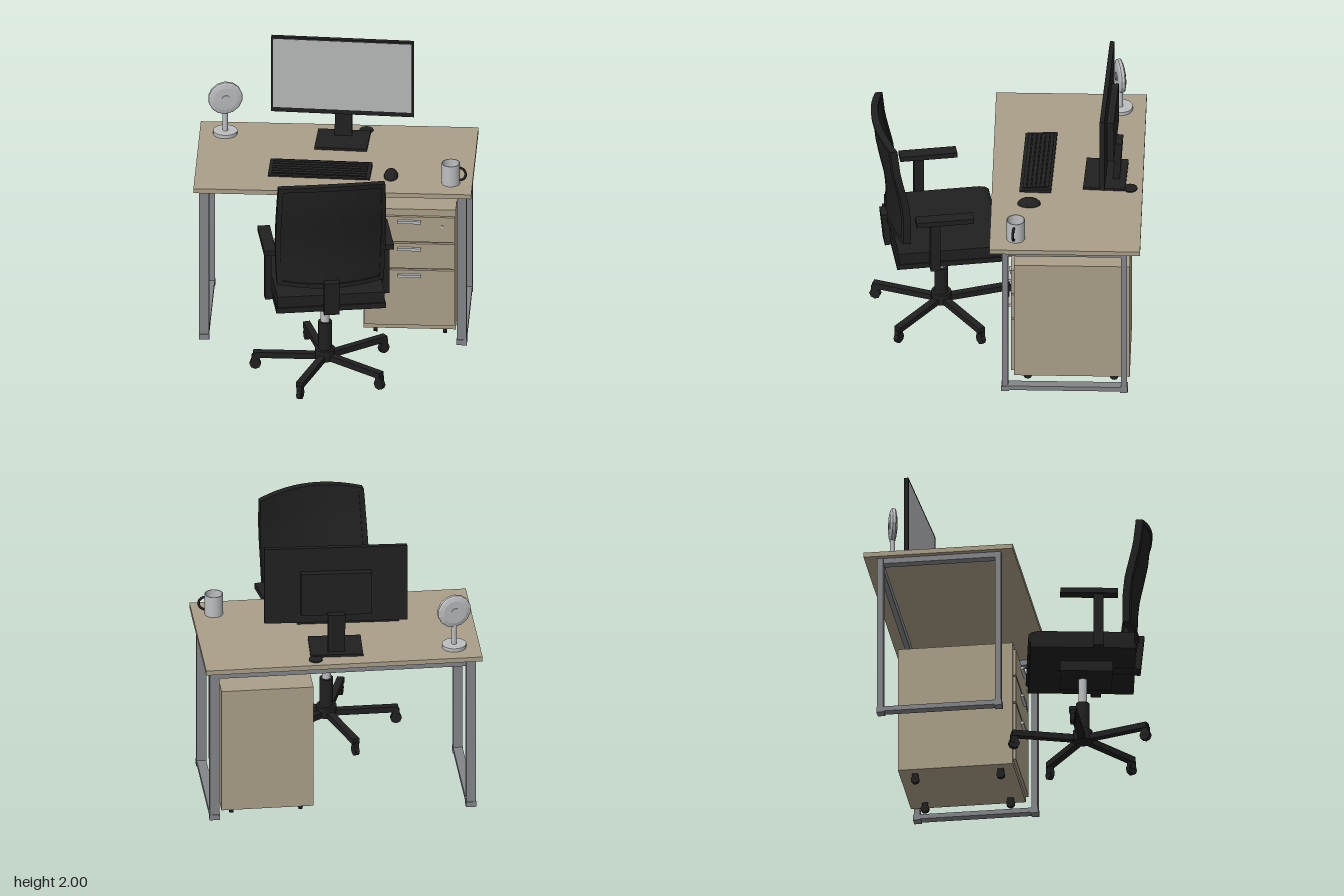
import * as THREE from 'three';

const mat = (name, color) => {
  const m = new THREE.MeshStandardMaterial({ color });
  m.name = name;
  return m;
};

export function createModel() {
  const wood = mat('tan wood', 0xaa9f88);
  const steel = mat('grey steel', 0x838589);
  const silver = mat('light silver', 0xbcbec0);
  const black = mat('black plastic', 0x202020);
  const glass = mat('screen grey', 0xb6b8b9);

  const group = (parent, name, x = 0, y = 0, z = 0, ry = 0) => {
    const g = new THREE.Group();
    g.name = name;
    g.position.set(x, y, z);
    g.rotation.y = ry;
    parent.add(g);
    return g;
  };
  const add = (parent, name, geo, material, x = 0, y = 0, z = 0) => {
    const m = new THREE.Mesh(geo, material);
    m.name = name;
    m.position.set(x, y, z);
    parent.add(m);
    return m;
  };
  // box given by its limits on each axis
  const box = (parent, name, material, [x0, x1], [y0, y1], [z0, z1]) =>
    add(parent, name, new THREE.BoxGeometry(x1 - x0, y1 - y0, z1 - z0), material,
      (x0 + x1) / 2, (y0 + y1) / 2, (z0 + z1) / 2);
  // upright cylinder from y0 to y1
  const post = (parent, name, material, r, y0, y1, x = 0, z = 0, sides = 20) =>
    add(parent, name, new THREE.CylinderGeometry(r, r, y1 - y0, sides), material, x, (y0 + y1) / 2, z);
  // side profile of [z, y] points drawn out along x
  const sideExtrude = (points, width) => {
    const shape = new THREE.Shape(points.map(p => new THREE.Vector2(...p)));
    const geo = new THREE.ExtrudeGeometry(shape, { depth: width, bevelEnabled: false });
    return geo.translate(0, 0, -width / 2).rotateY(-Math.PI / 2);
  };

  const root = new THREE.Group();
  root.name = 'workstation';

  // desk with two closed leg frames and a rear rail
  const desk = group(root, 'desk');
  box(desk, 'deskTop', wood, [-0.965, 0.965], [1.176, 1.21], [-0.954, 0.092]);
  for (const s of [-1, 1]) {
    const leg = group(desk, s > 0 ? 'leftLegFrame' : 'rightLegFrame', s * 0.895);
    box(leg, 'frontLeg', steel, [-0.034, 0.034], [0, 1.175], [-0.038, 0.004]);
    box(leg, 'backLeg', steel, [-0.034, 0.034], [0, 1.175], [-0.862, -0.82]);
    box(leg, 'topRail', steel, [-0.033, 0.033], [1.135, 1.174], [-0.822, -0.036]);
    box(leg, 'bottomRail', steel, [-0.033, 0.033], [0.008, 0.042], [-0.822, -0.036]);
    for (const z of [-0.841, -0.017])
      box(leg, 'footCap', steel, [-0.036, 0.036], [0, 0.04], [z - 0.027, z + 0.027]);
  }
  box(desk, 'rearRail', steel, [-0.865, 0.865], [1.097, 1.155], [-0.86, -0.822]);

  // drawer cabinet
  const cabinet = group(root, 'cabinet');
  box(cabinet, 'cabinetBody', wood, [0.207, 0.85], [0.08, 1.005], [-0.88, -0.075]);
  for (const [y0, y1, handleY] of [[0.762, 0.955, 0.92], [0.556, 0.748, 0.71], [0.116, 0.542, 0.502]]) {
    box(cabinet, 'drawerFront', wood, [0.216, 0.841], [y0, y1], [-0.076, -0.054]);
    box(cabinet, 'drawerHandle', silver, [0.447, 0.61], [handleY - 0.01, handleY + 0.01], [-0.055, -0.032]);
  }
  add(cabinet, 'drawerLock', new THREE.CylinderGeometry(0.011, 0.011, 0.008, 12).rotateX(Math.PI / 2),
    silver, 0.755, 0.885, -0.051);
  for (const x of [0.287, 0.77]) for (const z of [-0.17, -0.77]) {
    add(cabinet, 'cabinetWheel', new THREE.CylinderGeometry(0.03, 0.03, 0.027, 12).rotateZ(Math.PI / 2), black, x, 0.037, z);
    box(cabinet, 'wheelMount', black, [x - 0.012, x + 0.012], [0.05, 0.081], [z - 0.02, z + 0.02]);
  }

  // monitor on its stand
  const monitor = group(root, 'monitor', 0.033, 0, -0.703, -0.047);
  box(monitor, 'monitorCase', black, [-0.497, 0.497], [1.423, 2], [-0.016, 0.016]);
  box(monitor, 'screen', glass, [-0.483, 0.483], [1.457, 1.986], [0.014, 0.018]);
  box(monitor, 'monitorBack', black, [-0.245, 0.245], [1.5, 1.82], [-0.064, -0.015]);
  const neck = box(monitor, 'standNeck', black, [-0.06, 0.06], [1.215, 1.52], [-0.1, -0.052]);
  neck.rotation.x = -0.06;
  box(monitor, 'standBase', black, [-0.183, 0.183], [1.21, 1.228], [-0.137, 0.155]);
  post(root, 'cableGrommet', black, 0.048, 1.21, 1.219, 0.19, -0.868);

  // keyboard: a wedge with rows of keys
  const keyboard = group(root, 'keyboard', -0.1, 1.21, -0.222, -0.038);
  add(keyboard, 'keyboardCase', sideExtrude([[-0.11, 0], [0.11, 0], [0.11, 0.012], [-0.11, 0.03]], 0.71), black);
  for (let i = 0; i < 6; i++) {
    const z = -0.08 + i * 0.031;
    const row = add(keyboard, 'keyRow', new THREE.BoxGeometry(0.66, 0.01, 0.025), black, 0, 0.024 - z * 0.082, z);
    row.rotation.x = 0.082;
  }

  // mouse
  const dome = new THREE.SphereGeometry(1, 20, 8, 0, Math.PI * 2, 0, Math.PI / 2);
  add(root, 'mouse', dome.scale(0.05, 0.05, 0.08), black, 0.395, 1.21, -0.17);

  // mug with a dark handle
  const mug = group(root, 'mug', 0.815, 1.21, -0.088, -0.18);
  const mugProfile = [[0, 0], [0.064, 0], [0.064, 0.155], [0.058, 0.155], [0.058, 0.01], [0, 0.01]];
  for (let i = 0; i < mugProfile.length - 1; i++)
    add(mug, 'mugWall', new THREE.LatheGeometry(
      [mugProfile[i], mugProfile[i + 1]].map(p => new THREE.Vector2(...p)), 28), silver);
  add(mug, 'mugHandle', new THREE.TorusGeometry(0.048, 0.009, 8, 20, Math.PI * 1.3).rotateZ(-Math.PI * 0.65),
    black, 0.058, 0.077, 0);

  // desk fan
  const fan = group(root, 'deskFan', -0.786, 1.21, -0.776);
  post(fan, 'fanBase', silver, 0.085, 0, 0.026);
  post(fan, 'fanPost', silver, 0.018, 0.026, 0.2);
  const head = group(fan, 'fanHead', 0, 0.278, 0.003, 0.23);
  const drum = [[0, -0.026], [0.085, -0.026], [0.112, -0.018], [0.121, -0.01], [0.121, 0.01], [0.112, 0.018], [0.085, 0.024], [0, 0.026]];
  const drumGeo = new THREE.LatheGeometry(drum.map(p => new THREE.Vector2(...p)), 14).rotateX(Math.PI / 2).toNonIndexed();
  drumGeo.computeVertexNormals();
  add(head, 'fanCage', drumGeo, silver);
  add(head, 'fanHub', new THREE.CylinderGeometry(0.03, 0.03, 0.062, 14).rotateX(Math.PI / 2), silver);

  // chair
  const chair = group(root, 'chair', -0.032, 0, 0.45);
  const base = group(chair, 'chairBase');
  for (let i = 0; i < 5; i++) {
    const arm = group(base, 'starLeg', 0, 0, 0, Math.PI + i * Math.PI * 0.4);
    box(arm, 'legBar', black, [0, 0.5], [0.1, 0.143], [-0.025, 0.025]);
    add(arm, 'casterWheel', new THREE.CylinderGeometry(0.04, 0.04, 0.032, 8).rotateX(Math.PI / 2), black, 0.485, 0.05, 0);
    box(arm, 'casterFork', black, [0.46, 0.51], [0.05, 0.115], [-0.018, 0.018]);
  }
  post(base, 'hub', black, 0.07, 0.098, 0.178);
  post(base, 'columnSleeve', black, 0.048, 0.17, 0.388);
  post(base, 'gasColumn', silver, 0.031, 0.388, 0.575);

  // swivelling upper half; its front is toward the desk
  const upper = group(chair, 'chairUpper', 0, 0, 0, 0.165);
  box(upper, 'tiltMechanism', black, [-0.16, 0.16], [0.57, 0.648], [-0.16, 0.205]);
  box(upper, 'seatPan', black, [-0.382, 0.382], [0.645, 0.684], [-0.37, 0.362]);
  add(upper, 'seatCushion', sideExtrude([[-0.372, 0.684], [0.35, 0.684], [0.35, 0.765], [0.335, 0.77],
    [-0.32, 0.77], [-0.36, 0.762], [-0.385, 0.742], [-0.388, 0.705]], 0.75), black);
  for (const s of [-1, 1]) {
    const rest = group(upper, s > 0 ? 'leftArmrest' : 'rightArmrest', s * 0.41);
    box(rest, 'armPad', black, [-0.043, 0.043], [1.032, 1.07], [-0.165, 0.235]);
    box(rest, 'armPost', black, [-0.025, 0.025], [0.645, 1.035], [0.065, 0.135]);
    box(rest, 'armBracket', black, [-0.025 - 0.05 * (s > 0), 0.025 + 0.05 * (s < 0)], [0.645, 0.69], [0.065, 0.135]);
  }
  const spine = box(upper, 'backSpine', black, [-0.055, 0.055], [0.635, 0.89], [0.37, 0.415]);
  spine.rotation.x = 0.1;
  box(upper, 'spineBracket', black, [-0.055, 0.055], [0.64, 0.69], [0.2, 0.39]);

  // backrest: slabs bent round the sitter and along the leaning side line
  const lean = [[0.84, 0.266], [1.05, 0.267], [1.2, 0.283], [1.33, 0.314], [1.45, 0.34], [1.67, 0.364]];
  const leanAt = y => {
    let i = 0;
    while (i < lean.length - 2 && y > lean[i + 1][0]) i++;
    const [a, b] = [lean[i], lean[i + 1]];
    return a[1] + (b[1] - a[1]) * (y - a[0]) / (b[0] - a[0]);
  };
  const bentSlab = (name, [x0, x1], [y0, y1], [z0, z1]) => {
    const geo = new THREE.BoxGeometry(x1 - x0, y1 - y0, z1 - z0, 14, 14, 1);
    geo.translate((x0 + x1) / 2, (y0 + y1) / 2, (z0 + z1) / 2);
    const p = geo.attributes.position;
    for (let i = 0; i < p.count; i++) {
      const x = p.getX(i), y = p.getY(i);
      const u = x / 0.385, v = (y - 1.245) / 0.4;
      p.setXYZ(i, x * (1 - 0.035 * v * v), y + (v > 0 ? 0.035 : 0.015) * v * (1 - u * u),
        p.getZ(i) + leanAt(y) + 0.075 * (1 - u * u));
    }
    geo.computeVertexNormals();
    add(back, name, geo, black);
  };
  const back = group(upper, 'backrest');
  bentSlab('backPanel', [-0.36, 0.36], [0.87, 1.61], [0.008, 0.04]);
  for (const s of [-1, 1])
    bentSlab('backSideFrame', s > 0 ? [0.35, 0.385] : [-0.385, -0.35], [0.85, 1.632], [0, 0.05]);
  bentSlab('backTopFrame', [-0.352, 0.352], [1.6, 1.632], [0, 0.05]);
  bentSlab('backBottomFrame', [-0.352, 0.352], [0.85, 0.882], [0, 0.05]);

  return root;
}
